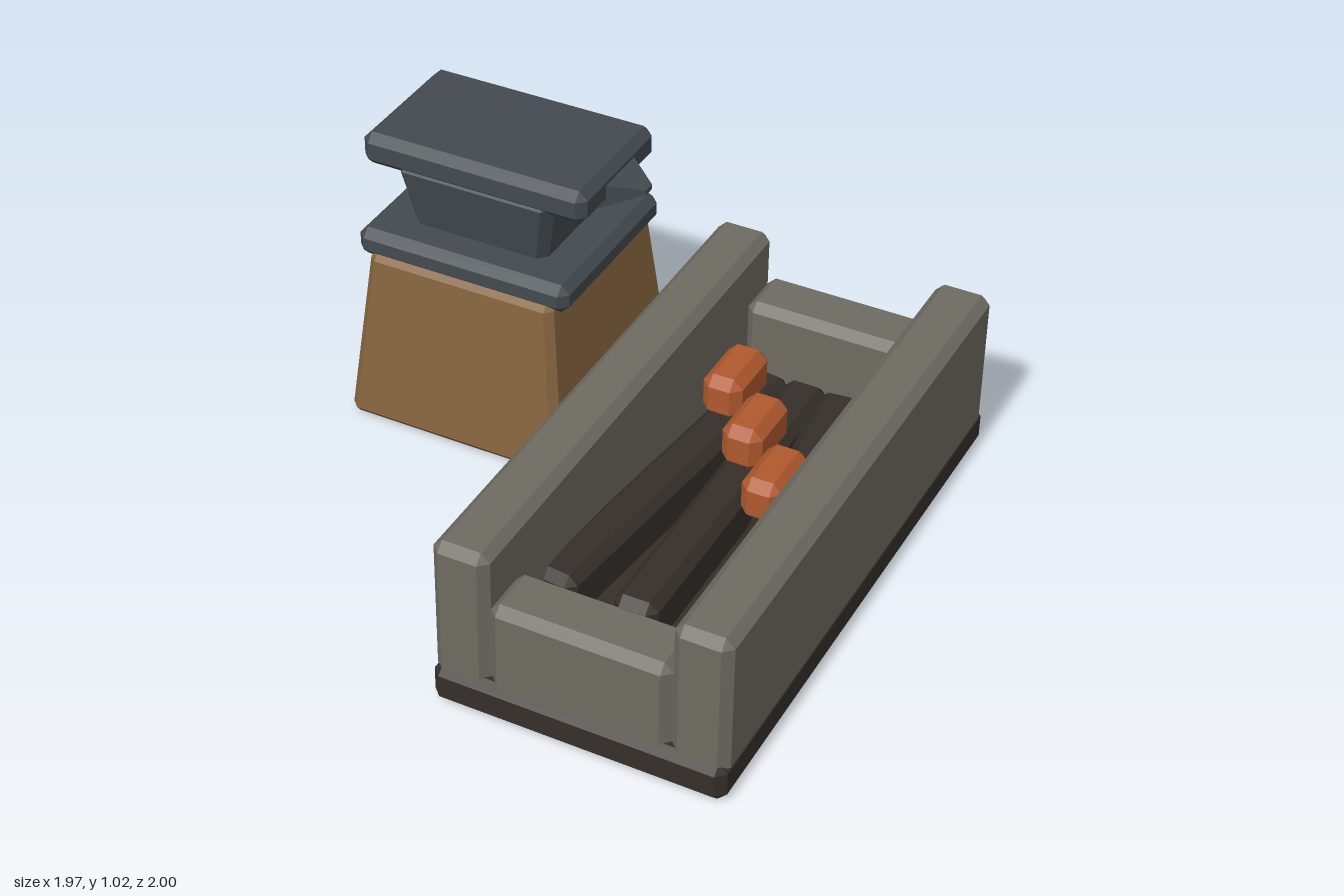
import * as THREE from 'three';
import { ConvexGeometry } from 'three/addons/geometries/ConvexGeometry.js';

const material = (color) => new THREE.MeshStandardMaterial({ color, flatShading: true });

// Box with bevelled edges from min to max corner; taper scales x and z of the top
function bevelBox(name, mat, [x0, y0, z0], [x1, y1, z1], c = 0.03, taper = [1, 1]) {
  const [a, b, d] = [(x1 - x0) / 2, (y1 - y0) / 2, (z1 - z0) / 2];
  const points = [];
  for (const sx of [-1, 1]) for (const sy of [-1, 1]) for (const sz of [-1, 1]) {
    for (const [p, q, r] of [[0, c, c], [c, 0, c], [c, c, 0]]) {
      const y = sy * (b - q);
      const t = (y + b) / (2 * b);
      points.push(new THREE.Vector3(
        sx * (a - p) * (1 + (taper[0] - 1) * t), y,
        sz * (d - r) * (1 + (taper[1] - 1) * t)));
    }
  }
  const mesh = new THREE.Mesh(new ConvexGeometry(points), mat);
  mesh.name = name;
  mesh.position.set((x0 + x1) / 2, (y0 + y1) / 2, (z0 + z1) / 2);
  return mesh;
}

export function createModel() {
  const model = new THREE.Group();
  model.name = 'forgeAndAnvil';
  const stone = material(0x6e6b62);
  const soot = material(0x352f2a);
  const ember = material(0xb0592e);
  const wood = material(0x86643f);
  const iron = material(0x434a4f);

  // Stone fire trough
  const forge = new THREE.Group();
  forge.name = 'forge';
  forge.add(bevelBox('forgeBase', soot, [0, 0, -1], [0.98, 0.14, 1]));
  for (const [name, x] of [['rightWall', 0], ['leftWall', 0.79]])
    forge.add(bevelBox(name, stone, [x, 0.09, -0.98], [x + 0.19, 0.605, 0.98]));
  for (const [name, z] of [['backWall', -0.98], ['frontWall', 0.77]])
    forge.add(bevelBox(name, stone, [0.19, 0.09, z], [0.79, 0.435, z + 0.21]));

  // Charred logs fanning out toward the front, with a glowing coal on each
  [[0.29, -0.11, -0.43], [0.495, 0, -0.22], [0.69, 0.11, -0.005]].forEach(([x, turn, coalZ], i) => {
    const log = bevelBox('log', soot, [x - 0.075, 0.13, -0.64], [x + 0.075, 0.31, 0.64]);
    log.rotation.y = turn;
    const cx = 0.32 + i * 0.17;
    forge.add(log, bevelBox('coal', ember,
      [cx - 0.07, 0.3, coalZ - 0.125], [cx + 0.07, 0.457, coalZ + 0.125], 0.033));
  });

  // Anvil on its tapered wooden block
  const anvil = new THREE.Group();
  anvil.name = 'anvil';
  anvil.add(
    bevelBox('woodenBlock', wood, [-0.98, 0, -0.955], [-0.165, 0.64, -0.115], 0.03, [0.835, 0.83]),
    bevelBox('anvilFoot', iron, [-0.965, 0.605, -0.87], [-0.18, 0.71, -0.195]),
    bevelBox('anvilWaist', iron, [-0.815, 0.68, -0.735], [-0.33, 0.95, -0.325], 0.03, [1.23, 1.24]),
    bevelBox('anvilFace', iron, [-0.985, 0.905, -0.785], [-0.16, 1.025, -0.28]));

  // Square horn: four-sided cone turned to point along +x
  const hornShape = new THREE.CylinderGeometry(0.012, 0.086, 0.18, 4);
  hornShape.rotateY(Math.PI / 4).rotateZ(-Math.PI / 2).scale(1, 1, 2.5);
  const horn = new THREE.Mesh(hornShape, iron);
  horn.name = 'anvilHorn';
  horn.position.set(-0.145, 0.945, -0.532);
  anvil.add(horn);

  model.add(forge, anvil);
  return model;
}
